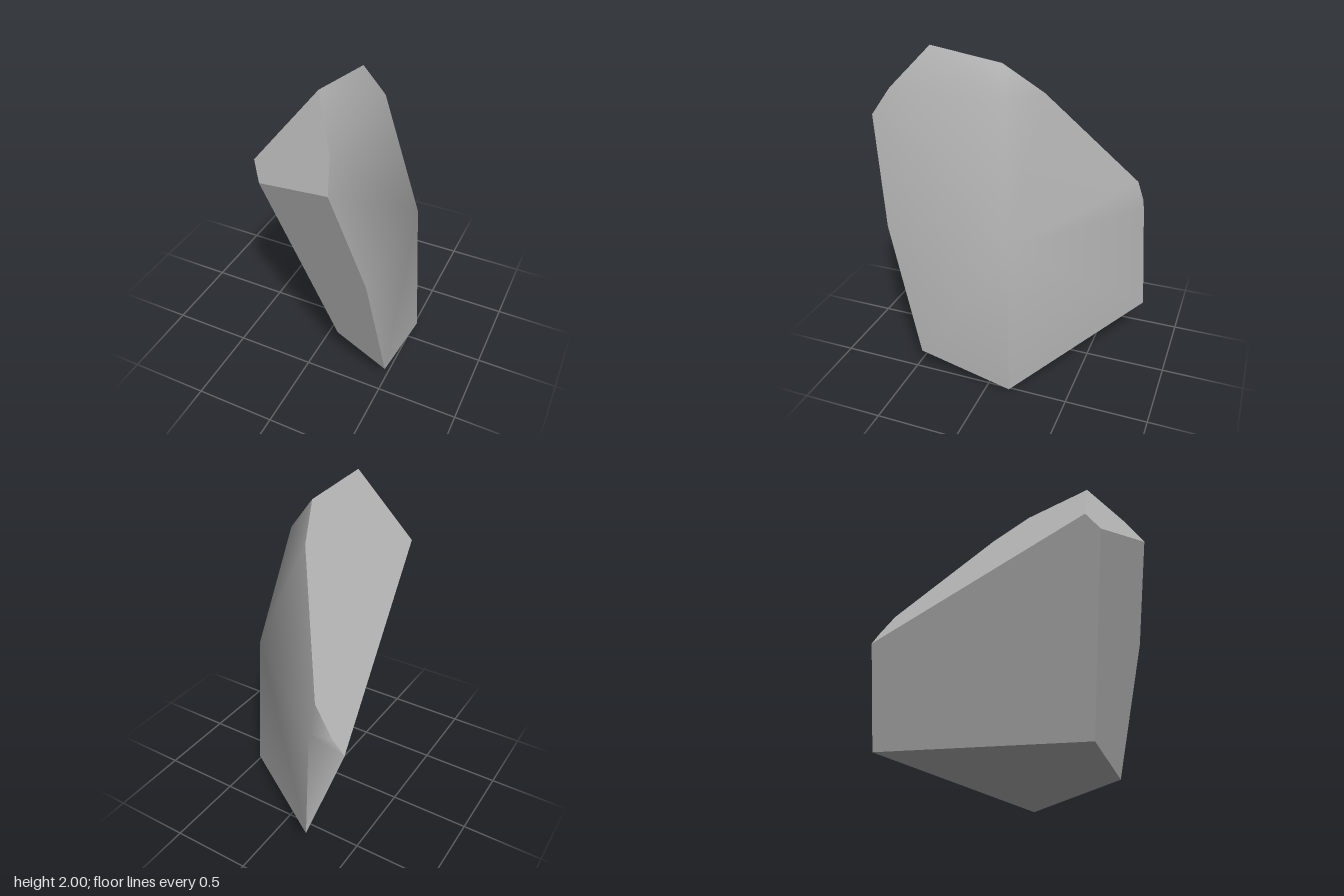
import * as THREE from 'three';

// Corners of the stone, named by where they sit
const P = {
  peak: [0.11, 2.0, 0.49], crest: [0.145, 1.945, 0.03],
  shoulderFront: [0.265, 1.77, 0.685], shoulderMid: [0.26, 1.77, -0.02], shoulderBack: [0.05, 1.77, -0.19],
  brow: [0.305, 1.61, 0.79], noseTop: [-0.225, 1.57, 0.6], nose: [-0.16, 1.48, 0.67],
  backTop: [-0.33, 1.14, -0.69],
  waistFront: [0.46, 0.97, 0.655], waistMid: [0.465, 0.97, -0.12], waistBack: [-0.32, 0.97, -0.74],
  waistEnd: [-0.45, 0.97, -0.71], tip: [-0.52, 0.88, -0.7],
  footFront: [0.515, 0.14, 0.45], footMid: [0.515, 0, -0.14], footBack: [-0.32, 0.27, -0.79],
  footInner: [0.18, 0.295, 0.43],
};

// Flat planes where the stone is cut
const cutFaces = {
  topCut: ['peak', 'crest', 'shoulderBack', 'backTop', 'waistEnd', 'tip', 'noseTop'],
  upperFrontCut: ['peak', 'shoulderFront', 'brow', 'nose', 'noseTop'],
  frontCut: ['brow', 'waistFront', 'footFront', 'footInner', 'nose'],
  rightCut: ['noseTop', 'nose', 'footInner', 'footBack', 'tip'],
  bottomCut: ['footBack', 'footInner', 'footFront', 'footMid'],
};

// Softly worn outer side, shaded smoothly
const wornFaces = [
  ['shoulderMid', 'crest', 'peak', 'shoulderFront'],
  ['shoulderMid', 'crest', 'shoulderBack'],
  ['waistMid', 'shoulderMid', 'shoulderFront', 'brow', 'waistFront'],
  ['waistMid', 'shoulderMid', 'shoulderBack', 'backTop', 'waistBack'],
  ['waistMid', 'waistFront', 'footFront', 'footMid'],
  ['waistMid', 'waistBack', 'footBack', 'footMid'],
  ['backTop', 'waistBack', 'waistEnd'],
  ['waistBack', 'waistEnd', 'tip', 'footBack'],
];

const corner = (name) => new THREE.Vector3(...P[name]);
const middle = Object.keys(P)
  .reduce((sum, name) => sum.add(corner(name)), new THREE.Vector3())
  .divideScalar(Object.keys(P).length);

// Fans a polygon into triangles that all face away from the middle
function fan(names) {
  const tris = [];
  for (let i = 1; i < names.length - 1; i++) {
    const ids = [names[0], names[i], names[i + 1]];
    const [a, b, c] = ids.map(corner);
    const normal = b.clone().sub(a).cross(c.clone().sub(a));
    if (normal.dot(a.clone().sub(middle)) < 0) {
      ids.reverse();
      normal.negate();
    }
    tris.push({ ids, normal });
  }
  return tris;
}

// Smooth faces share normals at their corners, except along the crisp foot
function buildGeometry(faces, smooth) {
  const polygons = faces.map(fan);
  const shared = {};
  for (const tri of polygons.flat()) {
    for (const id of tri.ids) (shared[id] ??= new THREE.Vector3()).add(tri.normal);
  }
  const positions = [];
  const normals = [];
  for (const tris of polygons) {
    const flat = tris.reduce((sum, t) => sum.add(t.normal), new THREE.Vector3());
    for (const { ids } of tris) {
      for (const id of ids) {
        const crisp = !smooth || id.startsWith('foot');
        positions.push(...P[id]);
        normals.push(...(crisp ? flat : shared[id]).clone().normalize().toArray());
      }
    }
  }
  const geometry = new THREE.BufferGeometry();
  geometry.setAttribute('position', new THREE.Float32BufferAttribute(positions, 3));
  geometry.setAttribute('normal', new THREE.Float32BufferAttribute(normals, 3));
  return geometry;
}

export function createModel() {
  const stone = new THREE.MeshStandardMaterial({ color: 0xb0b0b0 });
  stone.name = 'stoneGrey';

  const group = new THREE.Group();
  group.name = 'rock';
  const add = (name, faces, smooth) => {
    const mesh = new THREE.Mesh(buildGeometry(faces, smooth), stone);
    mesh.name = name;
    group.add(mesh);
  };

  for (const [name, face] of Object.entries(cutFaces)) add(name, [face], false);
  add('wornSide', wornFaces, true);
  return group;
}
